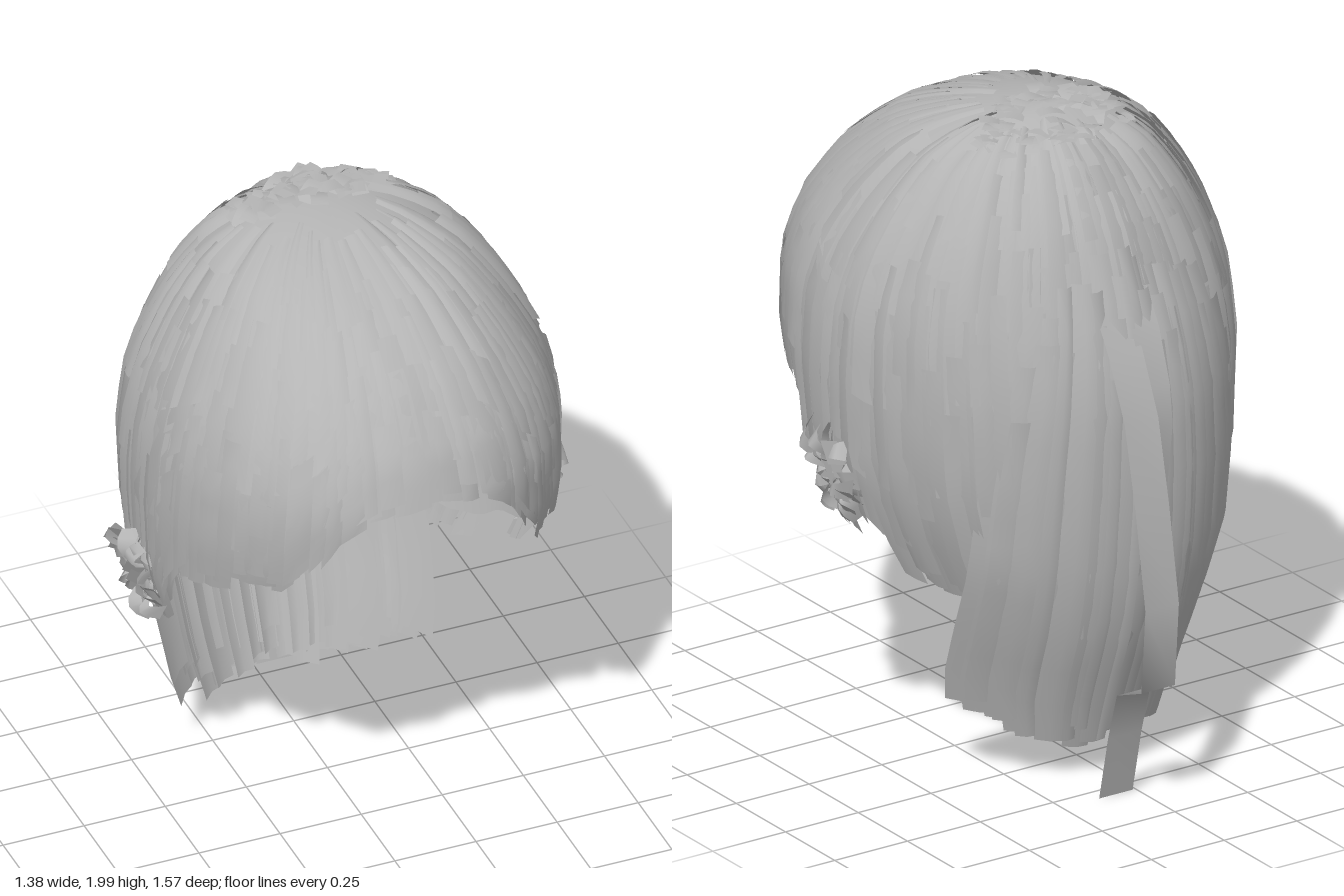
import * as THREE from 'three';
import { mergeGeometries } from 'three/addons/utils/BufferGeometryUtils.js';

let seed = 7;
const rand = () => { seed = (seed * 16807) % 2147483647; return seed / 2147483647; };
const jit = (a) => (rand() - 0.5) * 2 * a;

// Linear lookup in a table whose first column is ascending
function lookup(rows, k, col) {
  let i = 0;
  while (i < rows.length - 2 && rows[i + 1][0] < k) i++;
  const a = rows[i], b = rows[i + 1];
  const t = Math.min(1.1, Math.max(0, (k - a[0]) / (b[0] - a[0])));
  return a[col] + (b[col] - a[col]) * t;
}

const TOP = 1.965;
// Head cross-sections: height, half width, front z, back z, middle z
const head = [
  [1.965, 0, -0.08, -0.08, -0.08], [1.95, 0.14, 0.09, -0.15, -0.06], [1.925, 0.22, 0.2, -0.2, -0.04],
  [1.85, 0.35, 0.41, -0.32, 0], [1.7, 0.47, 0.61, -0.435, 0.04], [1.55, 0.55, 0.72, -0.5, 0.07],
  [1.4, 0.592, 0.77, -0.55, 0.08], [1.2, 0.605, 0.76, -0.59, 0.08], [0.95, 0.59, 0.68, -0.595, 0.08],
  [0.75, 0.53, 0.6, -0.585, 0.06], [0.6, 0.46, 0.55, -0.55, 0.02], [0.5, 0.42, 0.5, -0.53, 0],
].map(([y, ...r]) => [Math.sqrt(TOP - y), ...r]);

// Hairline: degrees from the front, height of the lower edge
const hairline = [
  [0, 1.43], [13, 1.4], [20, 1.35], [28, 1.21], [36, 1.11], [55, 1.07], [70, 1.03], [76, 0.92],
  [82, 0.78], [95, 0.73], [100, 0.67], [112, 0.625], [135, 0.63], [150, 0.66], [180, 0.73],
];

// Point on the head: deg around from the front, v from crown (0) to hairline (1)
function onHead(deg, v, lift = 0) {
  const d = Math.abs(((deg + 540) % 360) - 180);
  const y = TOP - (TOP - lookup(hairline, d, 1)) * Math.pow(v, 1.8);
  const q = Math.sqrt(Math.max(0, TOP - y));
  const a = THREE.MathUtils.degToRad(deg), c = Math.cos(a), s = Math.sin(a), mid = lookup(head, q, 4);
  // The front is squarer than the back
  const across = c > 0 ? Math.sign(s) * Math.pow(Math.abs(s), 0.8) : s;
  const depth = c > 0 ? lookup(head, q, 2) - mid : mid - lookup(head, q, 3);
  return [lookup(head, q, 1) * across * (1 + lift), y + lift * (1 - v) * 0.6, mid + depth * c * (1 + lift)];
}

// Grid patch over a surface function f(u, v), both 0..1
function patch(f, nu, nv) {
  const pos = [], idx = [];
  for (let j = 0; j <= nv; j++) {
    for (let i = 0; i <= nu; i++) {
      pos.push(...f(i / nu, j / nv));
      if (i < nu && j < nv) {
        const a = j * (nu + 1) + i, b = a + nu + 1;
        idx.push(a, b, a + 1, b, b + 1, a + 1);
      }
    }
  }
  const g = new THREE.BufferGeometry();
  g.setAttribute('position', new THREE.Float32BufferAttribute(pos, 3));
  g.setIndex(idx);
  g.computeVertexNormals();
  return g;
}

export function createModel() {
  seed = 7;
  const group = new THREE.Group();
  const hair = new THREE.MeshStandardMaterial({ color: 0xb4b4b4, side: THREE.DoubleSide });
  hair.name = 'hairGrey';
  const add = (name, geos) => {
    const mesh = new THREE.Mesh(mergeGeometries(geos), hair);
    mesh.name = name;
    group.add(mesh);
  };

  // Continuous under-layer
  add('hairCap', [patch((u, v) => onHead(u * 360, v * 0.985, -0.012), 120, 24)]);

  // Overlapping locks: start, end, count, lift, width
  const layers = [
    [0.14, 0.42, 34, 0.02, 0.07], [0.24, 0.58, 54, 0.022, 0.07], [0.36, 0.74, 66, 0.022, 0.07],
    [0.48, 0.88, 74, 0.022, 0.07], [0.6, 0.99, 80, 0.022, 0.07], [0.72, 1.0, 80, 0.022, 0.065],
  ];
  const locks = [];
  for (const [v0, v1, n, lift, width] of layers) {
    for (let i = 0; i < n; i++) {
      const deg = ((i + jit(0.35)) / n) * 360, rad = THREE.MathUtils.degToRad(deg);
      const s = v0 + jit(0.06), e = Math.min(1.02, v1 + jit(0.03));
      const spread = (width * (0.7 + rand() * 0.6) / 0.6) * 57.3;
      const base = lift * (rand() - 0.45), rear = Math.cos(rad) < 0.3;
      const tilt = jit(rear ? 0.04 : 0.018);
      // Locks behind the temples lie over the front section
      const side = rear ? Math.pow(Math.abs(Math.sin(rad)), 6) * 0.03 : 0;
      locks.push(patch((u, v) => {
        const t = s + (e - s) * v, bulge = 0.008 * (1 - Math.pow(2 * u - 1, 2));
        return onHead(deg + (u - 0.5) * spread, t, base + bulge + tilt * (u - 0.5) + side * t);
      }, 2, 6));
    }
  }
  add('hairLocks', locks);

  // Tousled short pieces around the crown
  const tufts = [];
  for (let i = 0; i < 60; i++) {
    const a = rand() * 6.28, r = Math.sqrt(rand()) * 0.23, dir = rand() * 6.28;
    const cx = Math.cos(a) * r, cz = -0.13 + Math.sin(a) * r * 0.5;
    const y = 1.982 - cx * cx * 1.1 - Math.max(0, -0.08 - cz) * 0.45, tip = jit(0.03);
    tufts.push(patch((u, v) => {
      const p = (u - 0.5) * 0.05, q = (v - 0.5) * 0.08;
      return [cx + Math.cos(dir) * q - Math.sin(dir) * p,
        y - q * q * 5 + tip * (v - 0.5), cz + Math.sin(dir) * q + Math.cos(dir) * p];
    }, 1, 3));
  }
  add('crownTufts', tufts);

  // Long hair down the back: height, half width, centre z, forward curve at the sides
  const back = [
    [0, 0.29, -0.33, 0.16], [0.1, 0.33, -0.385, 0.19], [0.28, 0.385, -0.45, 0.25], [0.5, 0.405, -0.535, 0.24],
    [0.7, 0.415, -0.575, 0.2], [0.95, 0.41, -0.595, 0.18], [1.2, 0.38, -0.595, 0.15], [1.4, 0.34, -0.56, 0.11],
    [1.55, 0.3, -0.51, 0.09], [1.7, 0.26, -0.445, 0.07],
  ];
  const onBack = (s, y, out) => {
    const w = lookup(back, y, 1);
    return [s * w, y, lookup(back, y, 2) + lookup(back, y, 3) * s * s - out];
  };
  const strands = [];
  for (let k = 0; k < 3; k++) {
    for (let i = 0; i < 15; i++) {
      const s = -0.92 + (i / 14) * 1.84 + jit(0.03), half = 0.07 + rand() * 0.04;
      const top = 1.6 - 0.15 * s * s - k * 0.12 + jit(0.06);
      const low = 0.08 + 0.13 * Math.pow(s, 4) + k * 0.03 + rand() * 0.07;
      const out = rand() * 0.022, tilt = jit(0.02);
      strands.push(patch((u, v) => onBack(s + (u - 0.5) * 2 * half, top + (low - top) * v,
        out + tilt * (u - 0.5) + 0.01 * (1 - Math.pow(2 * u - 1, 2))), 2, 12));
    }
  }
  add('backHair', strands);

  // Loose strands standing off the back: left edge, width, then height and z along each
  const loose = [
    [0.01, 0.115, [[1.53, -0.51], [1.38, -0.6], [1.2, -0.68], [0.95, -0.735], [0.66, -0.785],
      [0.4, -0.765], [0.35, -0.64], [0.2, -0.595], [0, -0.55]]],
    [-0.06, 0.09, [[1.56, -0.5], [1.43, -0.58], [1.27, -0.635], [1.15, -0.65], [1, -0.63], [0.7, -0.59]]],
  ];
  add('looseStrands', loose.map(([x, w, path]) => patch((u, v) => {
    const [y, z] = path[Math.round(v * (path.length - 1))];
    return [x + u * w, y, z];
  }, 1, path.length - 1)));

  // Curled tufts at each ear position
  for (const sx of [1, -1]) {
    const curls = [];
    for (let i = 0; i < 32; i++) {
      const a = rand() * 6.28, len = 0.6 + rand() * 0.35, turn = jit(0.8);
      const cx = 0.55 + rand() * 0.03, bulge = 0.04 + rand() * 0.05, twist = jit(0.05);
      const cy = 0.9 + jit(0.04), cz = 0.075 + jit(0.025);
      curls.push(patch((u, v) => {
        const b = a + (u - 0.5) * 0.5 + v * turn, r = 0.1 + v * len * 0.9;
        return [sx * (cx + bulge * Math.sin(v * 2.7) + twist * (u - 0.5) + Math.cos(b) * 0.03 * v),
          cy + Math.cos(b) * 0.17 * r, cz + Math.sin(b) * 0.1 * r];
      }, 1, 5));
    }
    // Stray tips pointing outward
    for (let i = 0; i < 5; i++) {
      const y = 0.8 + i * 0.04, z = 0.02 + rand() * 0.08, reach = 0.05 + i * 0.015;
      curls.push(patch((u, v) => [sx * (0.57 + reach * v), y + (u - 0.5) * 0.06 + v * 0.04,
        z + (u - 0.5) * 0.04 - v * 0.03], 1, 2));
    }
    add(sx > 0 ? 'leftEarTuft' : 'rightEarTuft', curls);
  }
  return group;
}
